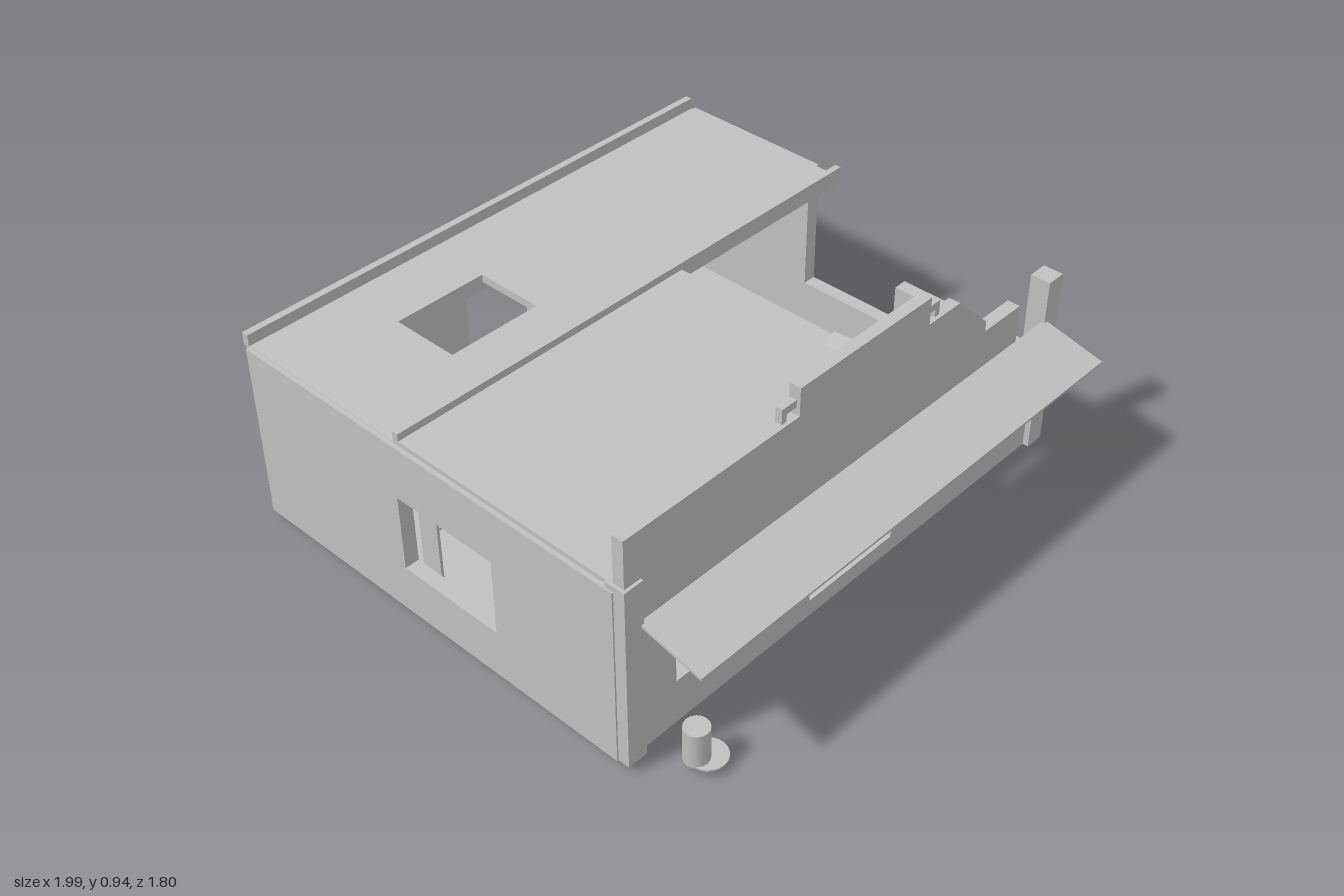
import * as THREE from 'three';

export function createModel() {
  const model = new THREE.Group();
  model.name = 'ruinedShop';
  const plaster = new THREE.MeshStandardMaterial({ color: 0xc0c0c0, side: THREE.DoubleSide });
  plaster.name = 'grey plaster';

  const add = (name, geo) => {
    const mesh = new THREE.Mesh(geo, plaster);
    mesh.name = name;
    model.add(mesh);
    return mesh;
  };
  // Box from its limits along each axis
  const box = (name, x0, x1, y0, y1, z0, z1) => {
    const mesh = add(name, new THREE.BoxGeometry(x1 - x0, y1 - y0, z1 - z0));
    mesh.position.set((x0 + x1) / 2, (y0 + y1) / 2, (z0 + z1) / 2);
    return mesh;
  };
  const cyl = (name, r, x, y0, y1, z, sides = 20) => {
    const mesh = add(name, new THREE.CylinderGeometry(r, r, y1 - y0, sides));
    mesh.position.set(x, (y0 + y1) / 2, z);
    return mesh;
  };
  // Outline with rectangular holes [u0, u1, v0, v1], extruded
  const panel = (points, holes, depth) => {
    const shape = new THREE.Shape(points.map(p => new THREE.Vector2(...p)));
    for (const [a, b, c, d] of holes) {
      shape.holes.push(new THREE.Path([[a, c], [a, d], [b, d], [b, c]].map(p => new THREE.Vector2(...p))));
    }
    return new THREE.ExtrudeGeometry(shape, { depth, bevelEnabled: false });
  };
  const rect = (a, b, c, d) => [[a, c], [b, c], [b, d], [a, d]];
  const frontPanel = (name, points, holes, z0, z1) =>
    add(name, panel(points, holes, z1 - z0).translate(0, 0, z0));
  const sidePanel = (name, points, holes, x0, x1) =>
    add(name, panel(points, holes, x1 - x0).rotateY(-Math.PI / 2).translate(x1, 0, 0));
  const flatPanel = (name, points, holes, y0, y1) =>
    add(name, panel(points, holes, y1 - y0).rotateX(Math.PI / 2).translate(0, y1, 0));

  // Floor and outer walls
  box('floor', -0.99, 0.95, 0.03, 0.045, -0.88, 0.66);
  const doorTop = 0.42;
  frontPanel('backWall', [[-0.98, 0.03], [-0.165, 0.03], [-0.165, doorTop], [0.13, doorTop],
    [0.13, 0.03], [0.945, 0.03], [0.945, 0.66], [-0.98, 0.66]], [], -0.89, -0.85);
  sidePanel('leftWall', rect(-0.87, 0.65, 0.03, 0.66), [[-0.21, 0.18, 0.2, 0.47]], -0.995, -0.945);
  sidePanel('brokenRightWall', [[-0.87, 0.03], [0.65, 0.03], [0.65, 0.365], [0.09, 0.365],
    [0.09, 0.2], [-0.3, 0.2], [-0.3, 0.66], [-0.87, 0.66]], [], 0.91, 0.96);

  // Shop front with two windows and a doorway, broken at one end
  frontPanel('frontWall', [[-0.93, 0.03], [0.9, 0.03], [0.9, 0.365], [0.755, 0.365], [0.755, 0.65], [-0.93, 0.65]],
    [[-0.78, -0.36, 0.19, 0.46], [0.32, 0.745, 0.19, 0.46], [-0.21, 0.175, 0.09, 0.475]], 0.625, 0.67);
  box('cornerPillar', -0.99, -0.92, 0.03, 0.68, 0.62, 0.69);
  box('cornerPillar', 0.88, 0.95, 0.03, 0.68, 0.62, 0.69);

  // Stepped parapet with a broken slope
  frontPanel('parapet', [[-0.98, 0.65], [0.56, 0.65], [0.56, 0.7], [0.41, 0.845], [0.265, 0.845],
    [0.265, 0.94], [-0.305, 0.94], [-0.305, 0.845], [-0.98, 0.845]], [], 0.64, 0.68);
  for (const [a, b, c, d] of [[-0.365, -0.305, -0.365, -0.345], [0.265, 0.325, 0.305, 0.325]]) {
    box('parapetStep', a, b, 0.87, 0.895, 0.645, 0.668);
    box('parapetStepFoot', c, d, 0.845, 0.87, 0.645, 0.668);
  }

  // Sloping awning over the pavement
  sidePanel('awning', [[0.68, 0.52], [0.9, 0.47], [0.9, 0.478], [0.68, 0.53]], [], -0.93, 0.895);

  // Roofs: front half has collapsed on one side
  flatPanel('rearRoof', rect(-0.98, 0.945, -0.87, -0.2), [[-0.6, -0.26, -0.645, -0.4]], 0.635, 0.662);
  box('frontRoof', -0.98, 0.17, 0.645, 0.675, -0.2, 0.64);
  box('backRidge', -0.98, 0.945, 0.655, 0.7, -0.9, -0.875);
  box('middleRidge', -0.98, 0.945, 0.655, 0.7, -0.218, -0.196);

  // Kitchen unit below the roof opening
  box('kitchenUnit', -0.64, -0.22, 0.045, 0.24, -0.67, -0.42);
  for (const x of [-0.5, -0.31]) cyl('burner', 0.032, x, 0.24, 0.25, -0.55);

  // Shelves with a row of cups
  box('lowerShelf', -0.86, -0.3, 0.25, 0.258, -0.295, -0.215);
  box('upperShelf', -0.86, -0.3, 0.38, 0.388, -0.295, -0.215);
  for (const x of [-0.865, -0.3]) box('shelfEnd', x, x + 0.01, 0.045, 0.388, -0.295, -0.215);
  for (let i = 0; i < 5; i++) cyl('cup', 0.015, -0.77 + i * 0.087, 0.258, 0.29, -0.255, 10);
  box('wallShelf', -0.945, -0.88, 0.373, 0.383, 0.13, 0.225);

  // Counter with a small till
  box('counter', 0.16, 0.615, 0.045, 0.197, 0.155, 0.285);
  box('till', 0.185, 0.26, 0.197, 0.22, 0.19, 0.25);

  // Broken machine standing behind the doorway
  box('machineBase', 0.05, 0.16, 0.045, 0.11, -0.4, -0.3);
  cyl('machineBody', 0.025, 0.11, 0.11, 0.18, -0.35, 10);
  cyl('machineBody', 0.025, 0.15, 0.11, 0.19, -0.33, 10);
  cyl('machineTop', 0.03, 0.14, 0.19, 0.22, -0.34, 10);

  // Collapsed roof slabs, each tilted to its own plane y = a + b x + c z
  const slab = (points, a, b, c) => {
    const mesh = flatPanel('fallenSlab', points, [], 0, 0.015);
    const p = mesh.geometry.attributes.position;
    for (let i = 0; i < p.count; i++) p.setY(i, p.getY(i) + a + b * p.getX(i) + c * p.getZ(i));
    mesh.geometry.computeVertexNormals();
  };
  slab([[0.17, 0.29], [0.5, 0.28], [0.64, 0.52], [0.47, 0.57], [0.3, 0.5]], 0.06, 0.17, -0.19);
  slab([[0.5, 0.28], [0.84, 0.24], [0.62, 0.5]], 0.06, 0.1, -0.14);
  slab([[0.58, -0.12], [0.92, -0.16], [0.92, 0.23], [0.62, 0.26]], -0.07, 0.14, 0.08);
  slab([[0.41, 0.12], [0.56, -0.04], [0.64, 0.02], [0.6, 0.15]], 0.03, 0.06, 0.05);
  const rod = box('brokenRod', 0.41, 0.49, 0.06, 0.08, -0.005, 0.02);
  rod.rotation.y = 0.45;

  // Plank resting against the outside of the low wall
  const plank = box('fallenPlank', 0.96, 0.995, 0.105, 0.118, -0.11, 0.23);
  plank.rotation.x = -0.14;
  plank.rotation.z = 0.35;

  // Bollard on the pavement
  cyl('bollard', 0.04, -0.838, 0.03, 0.155, 0.8, 16);
  cyl('bollardPlate', 0.06, -0.81, 0.03, 0.036, 0.817, 20);

  return model;
}
